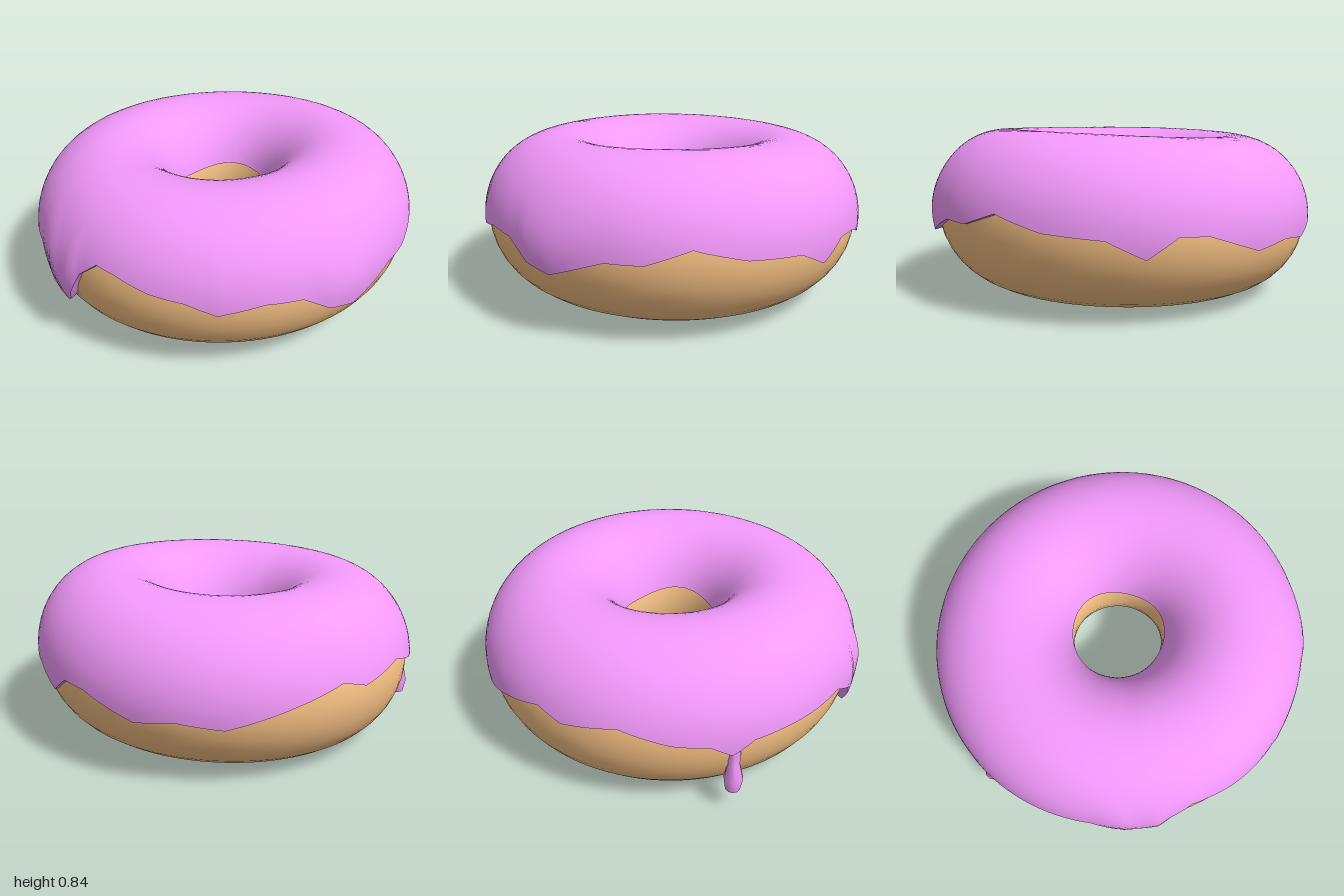
import * as THREE from 'three';
import { toCreasedNormals } from 'three/addons/utils/BufferGeometryUtils.js';

const RING = 0.604, TUBE = 0.366, STRETCH = 1.052, MID_Y = 0.41;
const CENTRE_X = 0.008, CENTRE_Z = -0.005;

// Slightly uneven bun: leaning, and a touch thinner at the front and back
const lean = (x, z) => 0.03 * x + 0.012 * z;
const plump = (x, z) => 1 + 0.015 * Math.cos(2 * Math.atan2(z, x));
const settle = (x, y, z) => MID_Y + lean(x, z) + y * plump(x, z);

// Height of the icing's outer rim: [angle in degrees from +x towards +z, y]
const RIM = [
  [0, 0.49], [2, 0.5], [14, 0.435], [24, 0.435], [40, 0.345], [48, 0.37], [56, 0.45],
  [66, 0.455], [78, 0.41], [86, 0.46], [96, 0.48], [106, 0.52], [112, 0.53], [118, 0.45],
  [124, 0.27], [128, 0.225], [134, 0.36], [142, 0.425], [166, 0.41], [174, 0.4],
  [180, 0.34], [186, 0.4], [196, 0.42], [210, 0.48], [226, 0.44], [234, 0.48], [248, 0.42],
  [266, 0.335], [278, 0.36], [290, 0.335], [306, 0.425], [314, 0.43], [322, 0.34],
  [332, 0.42], [348, 0.44], [360, 0.49],
];

function rimHeight(deg) {
  const k = RIM.findIndex((p) => p[0] > deg);
  const [a0, y0] = RIM[k - 1], [a1, y1] = RIM[k];
  return y0 + ((y1 - y0) * (deg - a0)) / (a1 - a0);
}

function doughGeometry() {
  const geo = new THREE.TorusGeometry(RING, TUBE, 36, 80);
  geo.rotateX(-Math.PI / 2).scale(1, STRETCH, 1);
  const p = geo.attributes.position;
  for (let i = 0; i < p.count; i++) p.setY(i, settle(p.getX(i), p.getY(i), p.getZ(i)));
  return toCreasedNormals(geo, 0.8);
}

// Shell over the top half, with a wavy rim and a lip turned back into the dough
function icingGeometry() {
  const around = 180, across = 28, pos = [], idx = [];
  for (let i = 0; i < around; i++) {
    const deg = (i * 360) / around, a = THREE.MathUtils.degToRad(deg);
    const c = Math.cos(a), s = Math.sin(a);
    const rim = rimHeight(deg);
    const outer = Math.asin((rim - MID_Y - lean(0.96 * c, 0.96 * s)) / (TUBE * STRETCH));
    const inner = Math.PI - 0.28 - 0.04 * Math.sin(3 * a);
    // the front drops stand a little proud
    const bulge = 0.025 * Math.max(0, s) * THREE.MathUtils.clamp((0.42 - rim) / 0.08, 0, 1);
    for (let j = 0; j <= across + 2; j++) {
      const lip = j === 0 || j === across + 2;
      const v = THREE.MathUtils.clamp((j - 1) / across, 0, 1);
      const phi = inner + (outer - inner) * v;
      const thick = 0.008 + 0.013 * THREE.MathUtils.smoothstep(v, 0, 0.4);
      const r = TUBE + (lip ? -0.01 : thick + bulge * THREE.MathUtils.smoothstep(v, 0.7, 0.95));
      const rho = RING + r * Math.cos(phi);
      const x = rho * c, z = rho * s;
      pos.push(x, settle(x, r * STRETCH * Math.sin(phi), z), z);
    }
  }
  const row = across + 3;
  for (let i = 0; i < around; i++) {
    for (let j = 0; j < row - 1; j++) {
      const p = i * row + j, q = ((i + 1) % around) * row + j;
      idx.push(p, q, p + 1, q, q + 1, p + 1);
    }
  }
  const geo = new THREE.BufferGeometry();
  geo.setAttribute('position', new THREE.Float32BufferAttribute(pos, 3));
  geo.setIndex(idx);
  return toCreasedNormals(geo, 0.8);
}

// Long hanging drop: thin neck, wider blunt end, leaning outwards near the bottom
function dripGeometry() {
  const profile = [[0, 0.105], [0.036, 0.112], [0.046, 0.18], [0.028, 0.26], [0.03, 0.34], [0.04, 0.42], [0, 0.46]];
  const geo = new THREE.LatheGeometry(profile.map(([r, y]) => new THREE.Vector2(r, y)), 10);
  const p = geo.attributes.position;
  for (let i = 0; i < p.count; i++) p.setX(i, p.getX(i) - 0.05 * (0.3 - Math.abs(p.getY(i) - 0.2)));
  return toCreasedNormals(geo, 1);
}

export function createModel() {
  const group = new THREE.Group();
  const pink = new THREE.MeshStandardMaterial({ color: 0xf49afd, side: THREE.DoubleSide });
  const tan = new THREE.MeshStandardMaterial({ color: 0xf8c285 });

  const add = (name, geo, mat, x = CENTRE_X, z = CENTRE_Z) => {
    const mesh = new THREE.Mesh(geo, mat);
    mesh.name = name;
    mesh.position.set(x, 0, z);
    group.add(mesh);
  };
  add('dough', doughGeometry(), tan);
  add('icing', icingGeometry(), pink);
  add('icingDrip', dripGeometry(), pink, -0.938, 0.015);
  return group;
}
